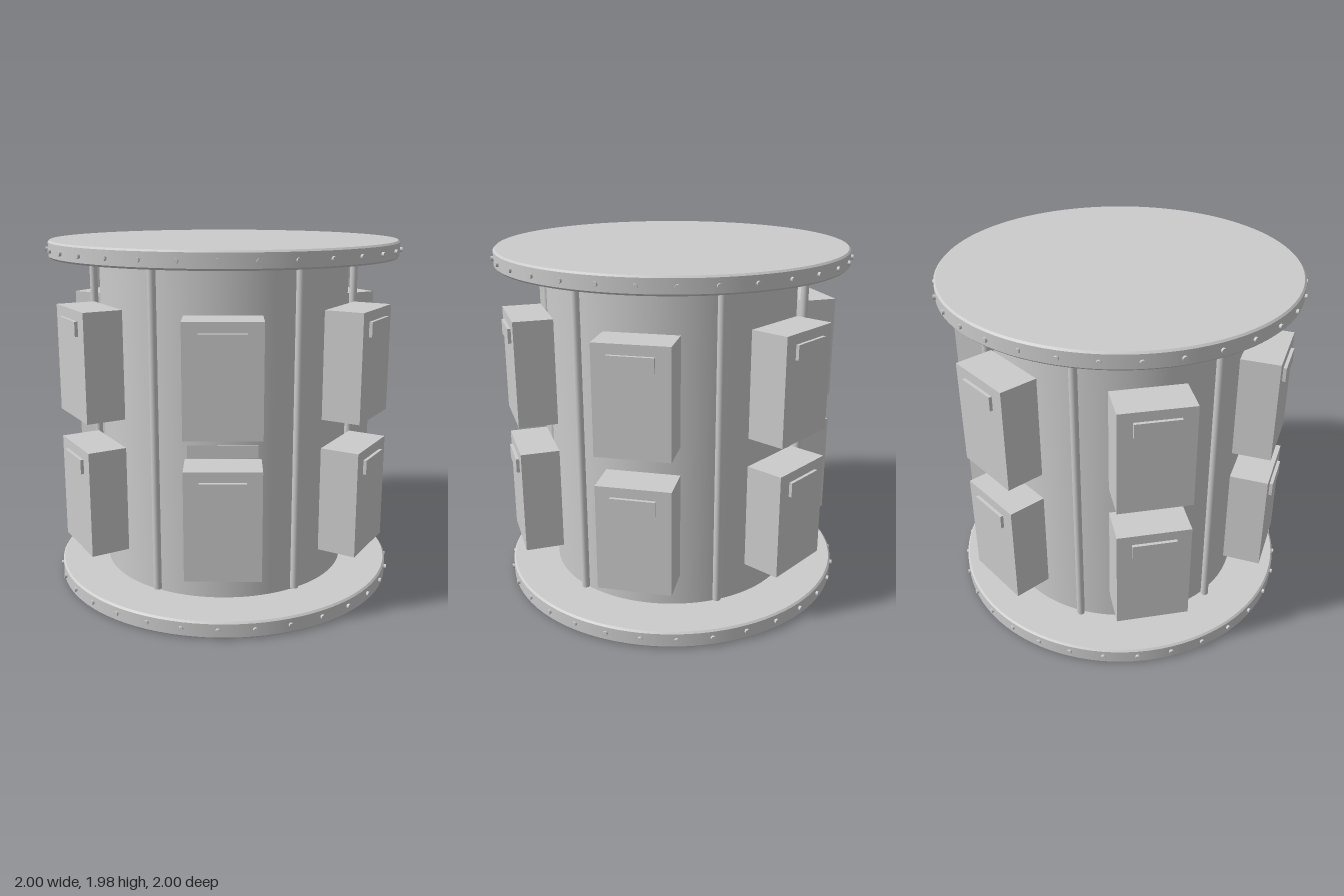
import * as THREE from 'three';

const mat = new THREE.MeshStandardMaterial({ color: 0xcccccc });
const HEIGHT = 1.98;
const BOX_ANGLE = THREE.MathUtils.degToRad(12.7);
const RIB_ANGLE = THREE.MathUtils.degToRad(44);

// Adds a named mesh at a local position.
function part(parent, name, geometry, x = 0, y = 0, z = 0) {
  const mesh = new THREE.Mesh(geometry, mat);
  mesh.name = name;
  mesh.position.set(x, y, z);
  parent.add(mesh);
  return mesh;
}

// Group turned about y so that its +z points radially outward.
function spoke(parent, name, angle) {
  const g = new THREE.Group();
  g.name = name;
  g.rotation.y = angle;
  parent.add(g);
  return g;
}

// Solid disc with a small chamfer; doubled corners keep the edges sharp.
function flangeGeometry(radius, thickness, chamfer) {
  const h = thickness / 2;
  const corners = [
    [0, -h], [radius - chamfer, -h], [radius, -h + chamfer],
    [radius, h - chamfer], [radius - chamfer, h], [0, h],
  ];
  const profile = corners.flatMap(([r, y], i) => {
    const p = new THREE.Vector2(r, y);
    return i === 0 || i === corners.length - 1 ? [p] : [p, p.clone()];
  });
  const points = profile.map((p) => [p.x, p.y]);
  // One lathe strip per straight section
  return points.slice(0, -1)
    .map((p, i) => [p, points[i + 1]])
    .filter(([a, b]) => a[0] !== b[0] || a[1] !== b[1])
    .map((seg) => new THREE.LatheGeometry(seg.map(([r, y]) => new THREE.Vector2(r, y)), 96));
}

export function createModel() {
  const model = new THREE.Group();
  model.name = 'drumWithCabinets';

  // Central drum
  part(model, 'drum', new THREE.CylinderGeometry(0.71, 0.71, HEIGHT - 0.1, 96, 1, true), 0, HEIGHT / 2, 0);

  // End flanges with a ring of bolts around each rim
  const strips = flangeGeometry(0.987, 0.095, 0.01);
  const boltGeo = new THREE.CylinderGeometry(0.013, 0.013, 0.04, 12).rotateX(Math.PI / 2);
  for (const [name, y, boltY] of [['bottomFlange', 0.0475, 0.05], ['topFlange', HEIGHT - 0.0475, HEIGHT - 0.05]]) {
    const flange = new THREE.Group();
    flange.name = name;
    model.add(flange);
    strips.forEach((geo) => part(flange, name + 'Surface', geo, 0, y, 0));
    for (let i = 0; i < 32; i++) {
      part(spoke(flange, 'boltMount', (i / 32) * Math.PI * 2), 'bolt', boltGeo, 0, boltY, 0.98);
    }
  }

  // Six upright ribs alternating with six columns of cabinets
  const ribGeo = new THREE.CylinderGeometry(0.022, 0.022, 1.74, 20);
  const cabinetGeo = new THREE.BoxGeometry(0.4, 0.59, 0.216);
  const handleGeo = new THREE.BoxGeometry(0.24, 0.08, 0.03);
  for (let i = 0; i < 6; i++) {
    const turn = (i * Math.PI) / 3;
    part(spoke(model, 'ribMount', RIB_ANGLE + turn), 'rib', ribGeo, 0, 0.995, 0.75);

    const column = spoke(model, 'cabinetColumn', BOX_ANGLE + turn);
    for (const y of [0.597, 1.347]) {
      part(column, 'cabinet', cabinetGeo, 0, y, 0.832);
      part(column, 'handle', handleGeo, 0, y + 0.2, 0.943);
    }
    // Thin label plate between the two front cabinets
    if (i === 0) part(column, 'plate', new THREE.BoxGeometry(0.352, 0.065, 0.003), 0, 0.997, 0.934);
  }
  return model;
}
